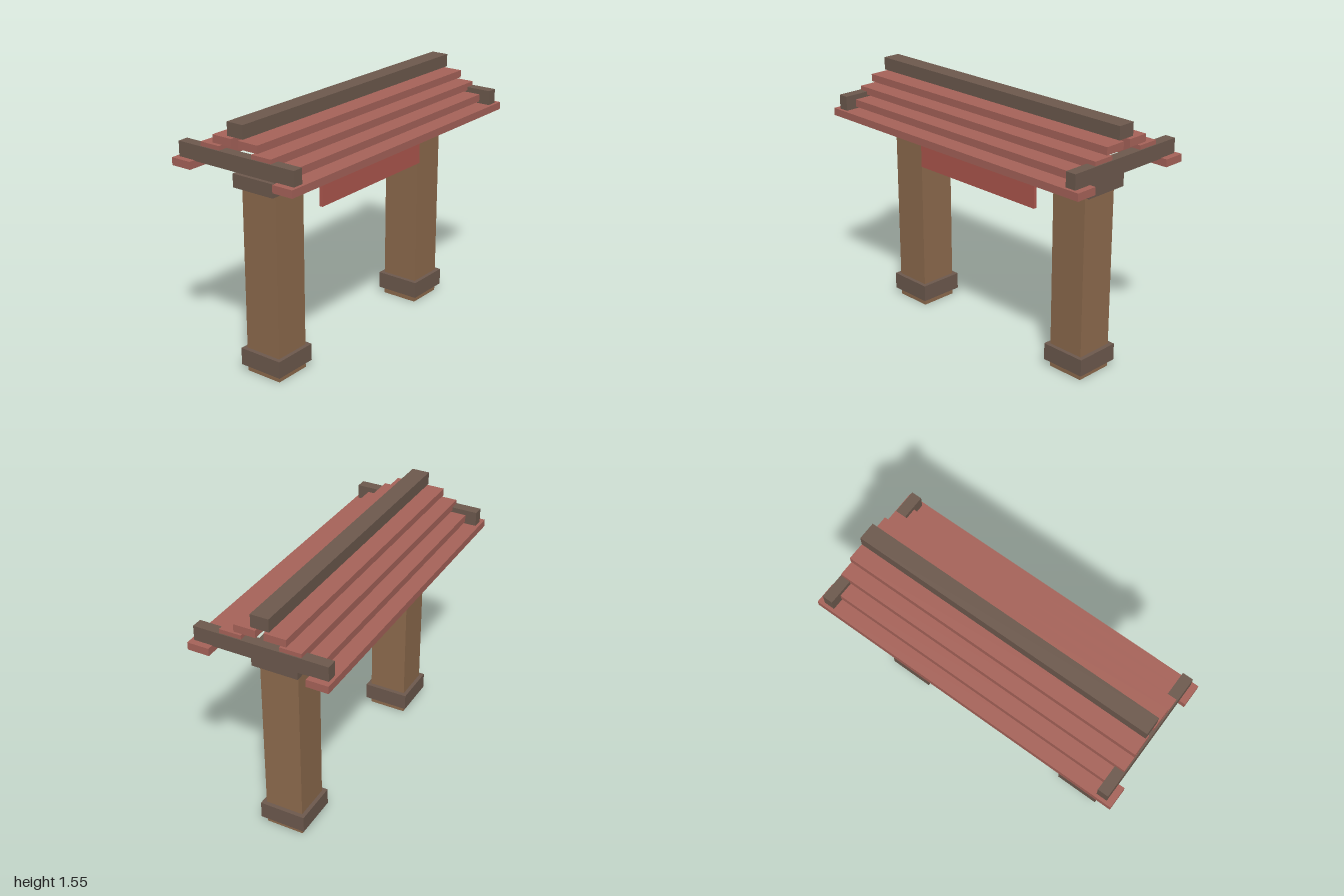
import * as THREE from 'three';

const mat = (color) => new THREE.MeshStandardMaterial({ color });

export function createModel() {
  const model = new THREE.Group();
  model.name = 'roofedGateway';
  const wood = mat(0x8f6c4e);
  const darkWood = mat(0x6e5a4e);
  const redWood = mat(0xa8645a);
  const signRed = mat(0xb0584f);

  // Box given by its centre in x and z, its bottom and top, and its width and depth
  function block(name, material, x, z, y0, y1, w, d, parent = model) {
    const mesh = new THREE.Mesh(new THREE.BoxGeometry(w, y1 - y0, d), material);
    mesh.name = name;
    mesh.position.set(x, (y0 + y1) / 2, z);
    parent.add(mesh);
    return mesh;
  }

  // Posts with collar and capital, and the roof's end rafters
  for (const [side, s] of [['left', 1], ['right', -1]]) {
    const post = new THREE.Group();
    post.name = side + 'Post';
    post.position.x = s * 0.666;
    model.add(post);
    block('shaft', wood, 0, 0, 0, 1.14, 0.233, 0.236, post);
    block('baseCollar', darkWood, 0, 0, 0.043, 0.147, 0.285, 0.284, post);
    block('capital', darkWood, 0, 0, 1.13, 1.21, 0.327, 0.284, post);
    block(side + 'Rafter', darkWood, s * 0.93, 0, 1.286, 1.378, 0.065, 0.808);
  }

  // Lintel and hanging sign board
  block('lintel', darkWood, 0, 0, 1.152, 1.235, 1.564, 0.316);
  block('signBoard', signRed, 0, 0.178, 0.985, 1.138, 0.94, 0.02);

  // Stepped roof slats, from the eave up to the ridge on both slopes
  const slatRows = 4;
  for (const [slope, s] of [['front', 1], ['back', -1]]) {
    for (let i = 0; i < slatRows; i++) {
      const y = 1.245 + i * 0.0565;
      const z = s * (0.357 - i * 0.0887);
      const width = i === 0 ? 2 : 1.912;
      block(slope + 'RoofSlat' + (i + 1), redWood, 0, z, y, y + 0.045, width, 0.132);
    }
  }

  // Ridge beam
  block('ridgeBeam', darkWood, 0, 0, 1.47, 1.548, 1.902, 0.11);

  return model;
}
